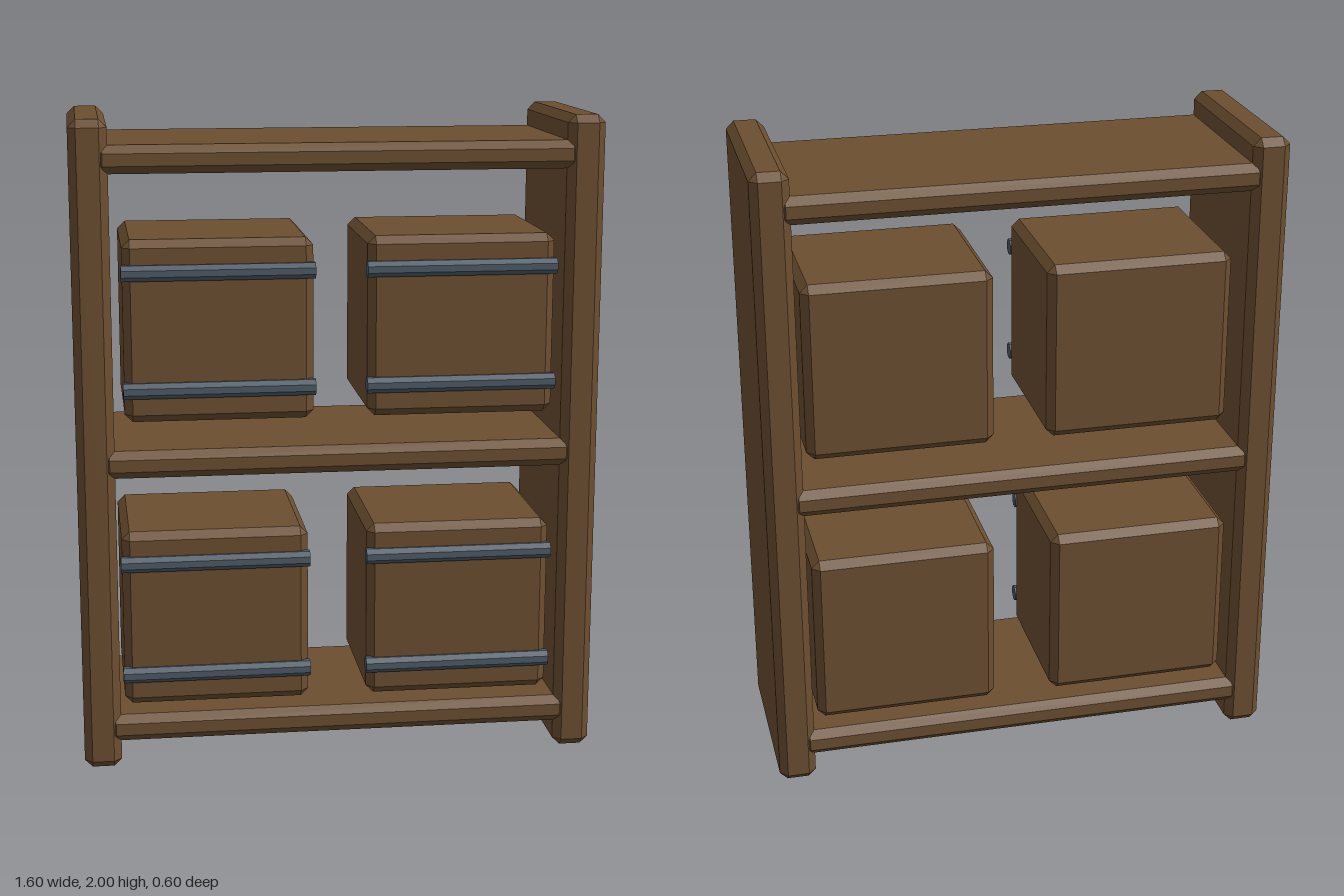
import * as THREE from 'three';
import { ConvexGeometry } from 'three/addons/geometries/ConvexGeometry.js';

const wood = new THREE.MeshStandardMaterial({ color: 0x6b4e30 });
wood.name = 'brown wood';
const metal = new THREE.MeshStandardMaterial({ color: 0x4d5a66 });
metal.name = 'blue grey metal';

// Box with every edge and corner cut flat
function chamferBox(name, x0, x1, y0, y1, z0, z1, cut = 0.024) {
  const half = [(x1 - x0) / 2, (y1 - y0) / 2, (z1 - z0) / 2];
  const points = [];
  for (const sx of [-1, 1]) for (const sy of [-1, 1]) for (const sz of [-1, 1]) {
    const s = [sx, sy, sz];
    for (let axis = 0; axis < 3; axis++) {
      points.push(new THREE.Vector3(...half.map((h, i) => s[i] * (i === axis ? h : h - cut))));
    }
  }
  const mesh = new THREE.Mesh(new ConvexGeometry(points), wood);
  mesh.position.set((x0 + x1) / 2, (y0 + y1) / 2, (z0 + z1) / 2);
  mesh.name = name;
  return mesh;
}

// Crate with two metal bands across its front
function crate(name, x, y) {
  const width = 0.575, height = 0.555, front = 0.245;
  const group = new THREE.Group();
  group.name = name;
  group.add(chamferBox('crateBody', x - width / 2, x + width / 2, y, y + height, -0.25, front));
  for (const [label, dy] of [['lowerBand', 0.1], ['upperBand', 0.457]]) {
    const geo = new THREE.CylinderGeometry(0.026, 0.026, width + 0.008, 8);
    geo.rotateY(Math.PI / 8).rotateZ(Math.PI / 2);
    const band = new THREE.Mesh(geo.toNonIndexed(), metal);
    band.geometry.computeVertexNormals(); // flat facets
    band.position.set(x, y + dy, front - 0.003);
    band.name = label;
    group.add(band);
  }
  return group;
}

export function createModel() {
  const model = new THREE.Group();
  model.name = 'crateShelf';

  // Upright side panels
  model.add(chamferBox('leftPanel', 0.685, 0.8, 0, 2, -0.298, 0.298));
  model.add(chamferBox('rightPanel', -0.8, -0.685, 0, 2, -0.298, 0.298));

  // Shelf boards
  for (const [name, y] of [['bottomShelf', 0.083], ['middleShelf', 0.923], ['topShelf', 1.84]]) {
    model.add(chamferBox(name, -0.725, 0.725, y, y + 0.085, -0.298, 0.298));
  }

  // Crates
  model.add(crate('upperRightCrate', -0.363, 1.085));
  model.add(crate('upperLeftCrate', 0.377, 1.085));
  model.add(crate('lowerRightCrate', -0.382, 0.185));
  model.add(crate('lowerLeftCrate', 0.377, 0.185));
  return model;
}
